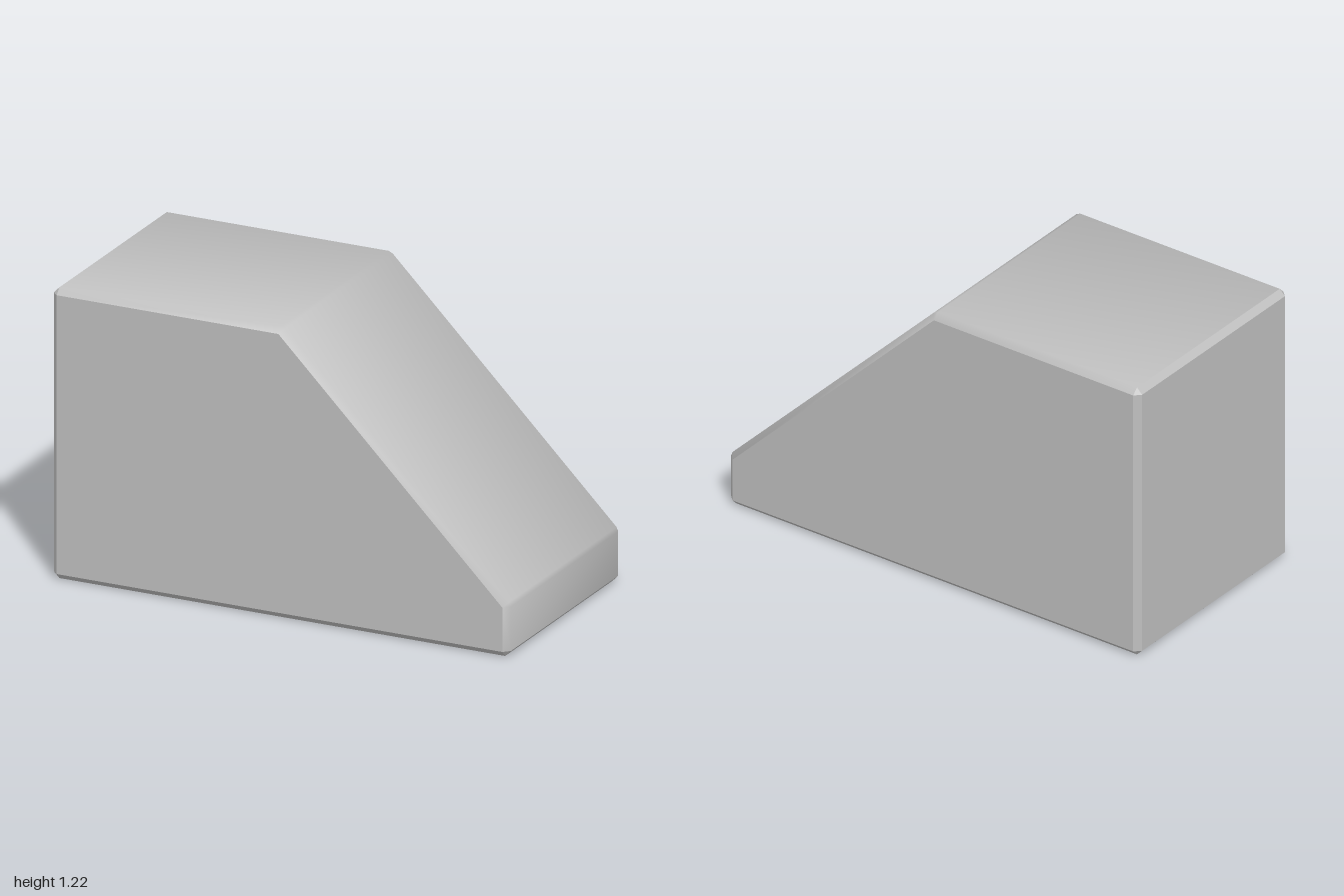
import * as THREE from 'three';

const V2 = (x, y) => new THREE.Vector2(x, y);
const at = (p, z) => new THREE.Vector3(p.x, p.y, z);

// Collects convex faces; a face without normals is flat
class Faces {
  constructor() { this.pos = []; this.nor = []; }
  add(points, normals, flip = false) {
    const pts = flip ? [...points].reverse() : points;
    const nrm = normals && (flip ? [...normals].reverse() : normals);
    const flat = new THREE.Vector3().crossVectors(
      pts[1].clone().sub(pts[0]), pts[2].clone().sub(pts[0])).normalize();
    for (let i = 1; i < pts.length - 1; i++) {
      for (const k of [0, i, i + 1]) {
        this.pos.push(...pts[k].toArray());
        this.nor.push(...(nrm ? nrm[k] : flat).toArray());
      }
    }
  }
  mesh(name, material) {
    const g = new THREE.BufferGeometry();
    g.setAttribute('position', new THREE.Float32BufferAttribute(this.pos, 3));
    g.setAttribute('normal', new THREE.Float32BufferAttribute(this.nor, 3));
    const m = new THREE.Mesh(g, material);
    m.name = name;
    return m;
  }
}

export function createModel() {
  const group = new THREE.Group();
  group.name = 'slopedBlock';
  const grey = new THREE.MeshStandardMaterial({ color: 0xbfbfbf });
  grey.name = 'light grey';

  const bevel = 0.025, half = 0.495, w = half - bevel;
  // Side profile inside the bevel: bottom, short end, slope, top, tall end
  const corners = [V2(-0.975, 0.025), V2(0.975, 0.025), V2(0.975, 0.21), V2(-0.005, 1.19), V2(-0.975, 1.19)];
  const n = corners.length;
  const normals = corners.map((c, i) => {
    const d = corners[(i + 1) % n].clone().sub(c).normalize();
    return V2(d.y, -d.x);
  });
  const mids = corners.map((c, k) => normals[k].clone().add(normals[(k + n - 1) % n]).normalize());
  const smoothCorner = k => k === 2 || k === 3;
  const smoothEdge = i => i >= 1 && i <= 3;

  // Bevelled points and softened normals of an edge i at corner k
  const out = (i, k) => corners[k].clone().addScaledVector(normals[i], bevel);
  const innerNormal = (i, k, s) => {
    const m = smoothCorner(k) ? normals[i].clone().add(mids[k]).normalize() : normals[i];
    return at(m.clone().multiplyScalar(1.707), s * 0.707).normalize();
  };
  const rimNormal = (i, k, s) => at(smoothCorner(k) ? mids[k] : normals[i], s).normalize();

  const shell = new Faces();
  for (let i = 0; i < n; i++) {
    const j = (i + 1) % n;
    const p = out(i, i), q = out(i, j), r = out(j, j);
    // Main surface of each edge; the underside is the rim below
    if (i > 0) {
      shell.add([at(p, w), at(p, -w), at(q, -w), at(q, w)], smoothEdge(i) &&
        [innerNormal(i, i, 1), innerNormal(i, i, -1), innerNormal(i, j, -1), innerNormal(i, j, 1)]);
    }
    // Bevel across the width
    shell.add([at(q, w), at(q, -w), at(r, -w), at(r, w)], smoothCorner(j) &&
      [innerNormal(i, j, 1), innerNormal(i, j, -1), innerNormal(j, j, -1), innerNormal(j, j, 1)]);
    for (const s of [1, -1]) {
      // Bevel along the side and the small corner triangle
      shell.add([at(p, s * w), at(q, s * w), at(corners[j], s * half), at(corners[i], s * half)], smoothEdge(i) &&
        [innerNormal(i, i, s), innerNormal(i, j, s), rimNormal(i, j, s), rimNormal(i, i, s)], s < 0);
      shell.add([at(q, s * w), at(r, s * w), at(corners[j], s * half)], smoothCorner(j) &&
        [innerNormal(i, j, s), innerNormal(j, j, s), rimNormal(i, j, s)], s < 0);
    }
  }
  // Front and back
  for (const s of [1, -1]) shell.add(corners.map(c => at(c, s * half)), null, s < 0);
  group.add(shell.mesh('outerShell', grey));

  // Rim around the open underside
  const hx = 0.835, hz = 0.34;
  const rim = new Faces();
  const ring = (x, z) => [[-x, -z], [x, -z], [x, z], [-x, z]].map(a => new THREE.Vector3(a[0], 0, a[1]));
  const outer = ring(0.975, w), inner = ring(hx, hz);
  for (let i = 0; i < 4; i++) {
    const j = (i + 1) % 4;
    rim.add([outer[i], outer[j], inner[j], inner[i]]);
  }
  group.add(rim.mesh('bottomRim', grey));

  // Hollow inside, following the slope
  const cavity = new Faces();
  const hollow = [V2(-hx, 0), V2(hx, 0), V2(hx, 0.155), V2(-0.01, 1.0), V2(-hx, 1.0)];
  for (let i = 1; i < n; i++) {
    const a = hollow[i], b = hollow[(i + 1) % n];
    cavity.add([at(a, hz), at(b, hz), at(b, -hz), at(a, -hz)]);
  }
  for (const s of [1, -1]) cavity.add(hollow.map(c => at(c, s * hz)), null, s > 0);
  group.add(cavity.mesh('innerWalls', grey));

  // Eight-sided post inside
  const postGeo = new THREE.CylinderGeometry(0.2, 0.2, 1.01, 8).toNonIndexed();
  postGeo.computeVertexNormals();
  const post = new THREE.Mesh(postGeo, grey);
  post.name = 'innerPost';
  post.rotation.y = Math.PI / 8;
  post.position.y = 0.505;
  group.add(post);

  return group;
}
